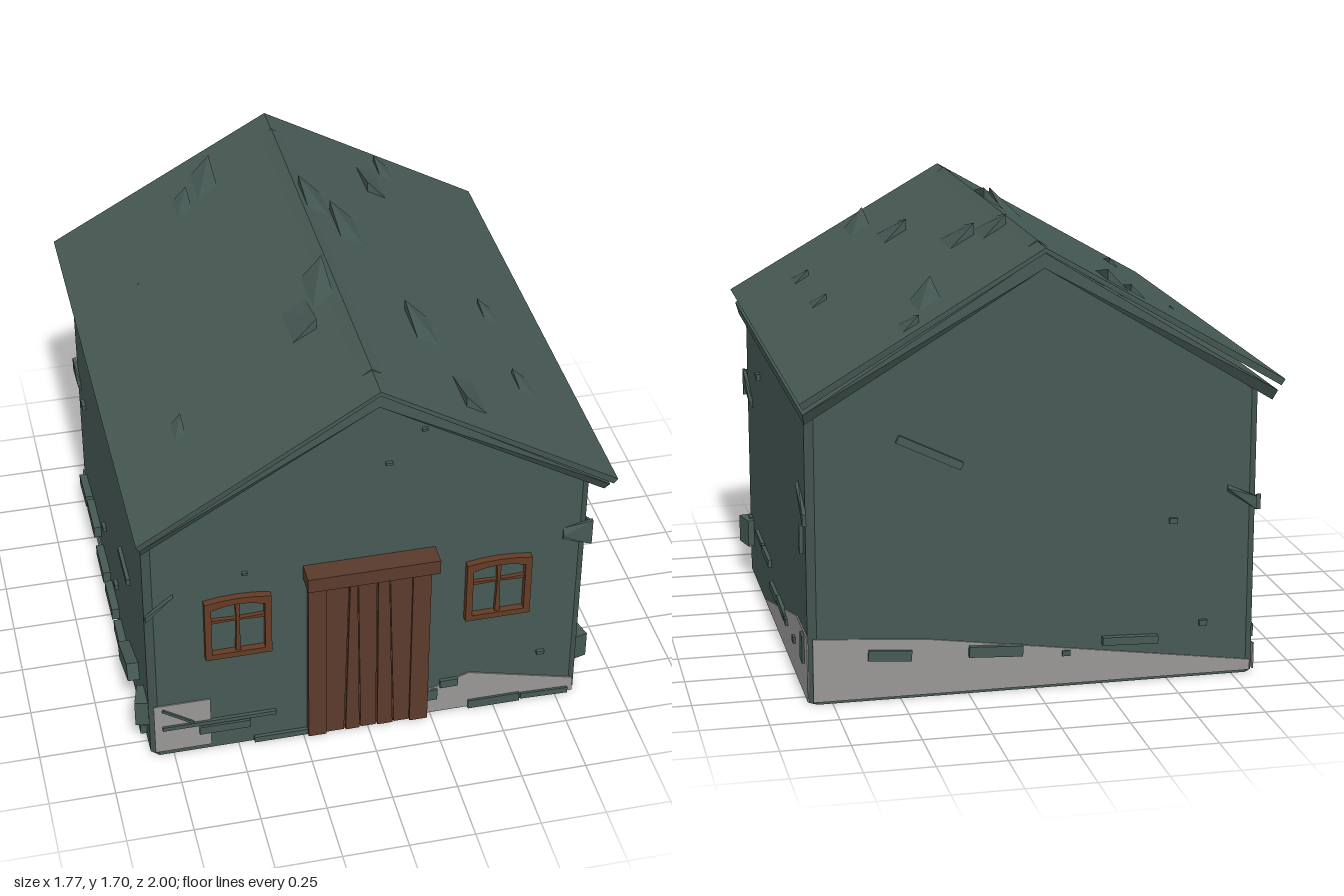
import * as THREE from 'three';
import { ConvexGeometry } from 'three/addons/geometries/ConvexGeometry.js';

const mat = (name, color) => Object.assign(new THREE.MeshStandardMaterial({ color }), { name });

export function createModel() {
  const green = mat('weathered green', 0x465954);
  const grey = mat('bare plaster', 0x999696);
  const brown = mat('door wood', 0x5a3a2b);
  const frameBrown = mat('window wood', 0x653b25);
  const model = new THREE.Group();
  model.name = 'cottage';

  const add = (parent, name, geometry, material) => {
    const mesh = new THREE.Mesh(geometry, material);
    mesh.name = name;
    parent.add(mesh);
    return mesh;
  };
  const hull = pts => new ConvexGeometry(pts.map(p => new THREE.Vector3(...p)));
  const polygon = pts => new THREE.Shape(pts.map(p => new THREE.Vector2(...p)));
  const slab = (shape, depth) => new THREE.ExtrudeGeometry(shape, { depth, bevelEnabled: false, curveSegments: 4 });
  const box = (parent, name, x0, x1, y0, y1, z0, z1, material) => {
    const m = add(parent, name, new THREE.BoxGeometry(x1 - x0, y1 - y0, z1 - z0), material);
    m.position.set((x0 + x1) / 2, (y0 + y1) / 2, (z0 + z1) / 2);
    return m;
  };

  // Walls: clipped corners rising to a gable
  const body = [[0, 1.67, 0.838], [0, 1.67, -0.838]];
  for (const y of [0, 1.09]) for (const sx of [-1, 1]) for (const sz of [-1, 1])
    body.push([sx * 0.805, y, sz * 0.838], [sx * 0.835, y, sz * 0.81]);
  add(model, 'walls', hull(body), green);

  // Roof: two thin layers on each slope, parted slightly at the eaves
  const slope = (name, s, ridgeTop, ridgeLow, ridgeZ, top, low) => {
    const pts = [];
    for (const z of [-1, 1]) pts.push(
      [0, ridgeTop, z * ridgeZ], [0, ridgeLow, z * ridgeZ],
      [s * top[0], top[1], z * top[2]], [s * low[0], low[1], z * low[2]]);
    add(model, name, hull(pts), green);
  };
  for (const s of [-1, 1]) {
    slope('upperRoof', s, 1.665, 1.648, 0.97, [0.875, 1.16, 1.0], [0.862, 1.137, 0.995]);
    slope('lowerRoof', s, 1.645, 1.59, 0.955, [0.86, 1.112, 0.965], [0.85, 1.07, 0.935]);
  }

  // Lifted shingles: inner x, outer x, low z, high z, end that curls up
  const roofY = x => 1.663 - 0.577 * Math.abs(x);
  for (const [a, b, z0, z1, lift] of [
    [0.26, 0.35, 0.29, 0.49, -1], [0.34, 0.42, 0.66, 0.86, 1], [0.34, 0.42, -0.81, -0.61, 1],
    [0.02, 0.11, -0.43, -0.24, -1], [0.115, 0.21, -0.31, -0.1, -1], [0.44, 0.5, -0.92, -0.79, -1],
    [0.62, 0.68, 0.02, 0.13, -1], [0.62, 0.68, 0.49, 0.61, -1],
    [-0.36, -0.42, -0.78, -0.65, -1], [-0.25, -0.33, -0.87, -0.68, -1], [-0.11, -0.2, 0.26, 0.46, 1],
    [-0.02, -0.1, 0.14, 0.35, -1], [-0.62, -0.66, 0.49, 0.6, -1], [-0.62, -0.64, -0.4, -0.36, -1]]) {
    const h = Math.min(0.045, (z1 - z0) * 0.22);
    add(model, 'liftedShingle', hull([
      [a, roofY(a), z0], [a, roofY(a), z1], [b, roofY(b), z0], [b, roofY(b), z1],
      [a, roofY(a) + h, lift > 0 ? z1 : z0]]), green);
  }

  // A group per wall whose local z points outwards
  const wall = (name, angle, distance) => {
    const g = new THREE.Group();
    g.name = name;
    g.rotation.y = angle;
    g.position.set(Math.sin(angle) * distance, 0, Math.cos(angle) * distance);
    model.add(g);
    return g;
  };
  const front = wall('frontWallDetails', 0, 0.838);
  const leftSide = wall('leftWallDetails', Math.PI / 2, 0.835);
  const back = wall('backWallDetails', Math.PI, 0.838);
  const rightSide = wall('rightWallDetails', -Math.PI / 2, 0.835);

  // Bare plaster patches at the foot of the walls
  const patch = (w, pts) => add(w, 'plasterPatch', slab(polygon(pts), 0.005), grey);
  patch(front, [[-0.82, 0.02], [-0.605, 0.02], [-0.605, 0.25], [-0.82, 0.25]]);
  patch(front, [[0.23, 0.005], [0.82, 0.005], [0.82, 0.07], [0.4, 0.18], [0.23, 0.12]]);
  patch(leftSide, [[-0.35, 0.015], [0.835, 0.01], [0.835, 0.25], [0.56, 0.25], [0.14, 0.14]]);
  patch(back, [[-0.82, 0.01], [0.82, 0.01], [0.82, 0.05], [-0.4, 0.22], [-0.82, 0.25]]);
  patch(rightSide, [[-0.83, 0.01], [-0.1, 0.01], [-0.4, 0.06], [-0.83, 0.11]]);

  // Loose bricks and chips: x0, x1, y0, y1, tilt, depth
  const chips = (w, list) => {
    for (const [x0, x1, y0, y1, tilt = 0, depth = 0.014] of list)
      box(w, 'looseBrick', x0, x1, y0, y1, -0.005, depth, green).rotation.z = tilt;
  };
  chips(front, [
    [-0.79, -0.355, 0.13, 0.147], [-0.65, -0.455, 0.085, 0.12], [-0.44, -0.23, 0.0, 0.025],
    [0.4, 0.605, 0.001, 0.04], [0.61, 0.8, 0.006, 0.032, -0.03], [0.285, 0.355, 0.13, 0.165],
    [0.235, 0.275, 0.075, 0.125], [0.665, 0.695, 0.225, 0.24], [0.055, 0.08, 1.247, 1.257],
    [0.185, 0.205, 1.378, 1.387], [-0.475, -0.455, 0.835, 0.845], [-0.8, -0.66, 0.185, 0.195, -0.6]]);
  chips(leftSide, [
    [-0.555, -0.36, 0.225, 0.245], [-0.35, -0.15, 0.21, 0.24], [-0.77, -0.73, 0.22, 0.245],
    [-0.13, 0.07, 0.13, 0.16], [0.075, 0.27, 0.135, 0.165, -0.05], [0.285, 0.33, 0.13, 0.155],
    [0.495, 0.535, 0.13, 0.155], [0.71, 0.765, 0.135, 0.24, -0.1], [0.735, 0.75, 0.545, 0.65],
    [-0.445, -0.395, 0.91, 0.935]]);
  chips(back, [
    [-0.62, -0.46, 0.15, 0.19, -0.08], [-0.25, -0.05, 0.14, 0.18, -0.05, 0.025],
    [0.25, 0.46, 0.15, 0.18, -0.03, 0.025], [-0.52, -0.26, 0.905, 0.935, -0.45],
    [0.1, 0.13, 0.12, 0.14], [0.5, 0.53, 0.6, 0.62], [0.62, 0.65, 0.2, 0.22]]);
  chips(rightSide, [
    [-0.74, -0.56, 0.11, 0.16, 0.1, 0.03], [-0.53, -0.34, 0.13, 0.18, 0, 0.03],
    [-0.3, -0.12, 0.07, 0.12, 0, 0.03], [-0.08, 0.1, 0.06, 0.11, 0, 0.03],
    [0.14, 0.32, 0.04, 0.09, 0, 0.03], [0.36, 0.6, 0.14, 0.21, 0.35, 0.045],
    [0.62, 0.74, 0.03, 0.07, 0, 0.025], [0.08, 0.12, 0.23, 0.25], [-0.65, -0.6, 0.59, 0.61],
    [0.28, 0.48, 0.55, 0.58], [-0.2, -0.16, 0.3, 0.32]]);

  // Splintered boards at the corners: start, end and half height
  const splinter = (w, a, b, half) => add(w, 'cornerSplinter', hull([
    [a[0], a[1] - half, 0], [a[0], a[1] + half, 0], [a[0], a[1] + half, 0.015], [a[0], a[1] - half, 0.015],
    [b[0], b[1] - half / 2, 0], [b[0], b[1] + half / 2, 0], [b[0], b[1], 0.012]]), green);
  splinter(leftSide, [-0.845, 0.82], [-0.65, 0.75], 0.03);
  splinter(leftSide, [0.84, 0.695], [0.65, 0.78], 0.022);
  splinter(front, [0.85, 0.8], [0.74, 0.8], 0.055);
  splinter(front, [-0.835, 0.69], [-0.73, 0.78], 0.012);
  splinter(back, [0.83, 0.66], [0.72, 0.72], 0.025);
  splinter(rightSide, [-0.835, 0.66], [-0.72, 0.62], 0.03);
  for (const s of [-1, 1]) {
    const b = box(model, 'cornerBrick', s * 0.845 - 0.028, s * 0.845 + 0.028, 0.13, 0.24, 0.7, 0.8, green);
    b.rotation.y = s * 0.25;
  }

  // Door: jambs, uneven planks and a deep lintel
  const door = new THREE.Group();
  door.name = 'door';
  front.add(door);
  for (const s of [-1, 1]) box(door, 'doorJamb', s * 0.198 - 0.035, s * 0.198 + 0.035, 0.001, 0.77, 0, 0.028, brown);
  box(door, 'doorBacking', -0.165, 0.165, 0.001, 0.77, 0, 0.012, brown);
  const seams = [[-0.165, -0.165], [-0.09, -0.075], [-0.03, -0.045], [0.035, 0.03], [0.1, 0.075], [0.165, 0.165]];
  for (let i = 0; i < 5; i++) {
    const [b0, t0] = seams[i], [b1, t1] = seams[i + 1];
    add(door, 'doorPlank', slab(polygon([
      [b0 + 0.003, 0.001], [b1 - 0.003, 0.001], [t1 - 0.002, 0.77], [t0 + 0.002, 0.77]]), 0.018 + 0.004 * (i % 2)), brown);
  }
  box(door, 'doorLintel', -0.247, 0.25, 0.77, 0.83, 0, 0.085, brown);

  // Windows: arched frames with tapered glazing bars
  const arch = (w, y0, y1, rise) => {
    const s = new THREE.Shape();
    s.moveTo(-w, y0);
    s.lineTo(w, y0);
    s.lineTo(w, y1);
    s.quadraticCurveTo(0, y1 + rise * 2, -w, y1);
    s.closePath();
    return s;
  };
  for (const x of [-0.495, 0.495]) {
    const g = new THREE.Group();
    g.name = 'window';
    g.position.x = x;
    front.add(g);
    const frame = arch(0.125, 0.463, 0.732, 0.012);
    frame.holes.push(arch(0.1, 0.487, 0.7, 0.018));
    add(g, 'windowFrame', slab(frame, 0.027), frameBrown);
    add(g, 'uprightBar', slab(polygon([
      [-0.01, 0.485], [0.01, 0.485], [0.005, 0.63], [0.01, 0.72], [-0.01, 0.72], [-0.005, 0.63]]), 0.018), frameBrown);
    add(g, 'crossBar', slab(polygon([
      [-0.102, 0.628], [0, 0.632], [0.102, 0.628], [0.102, 0.643], [0, 0.639], [-0.102, 0.643]]), 0.016), frameBrown);
  }
  return model;
}
